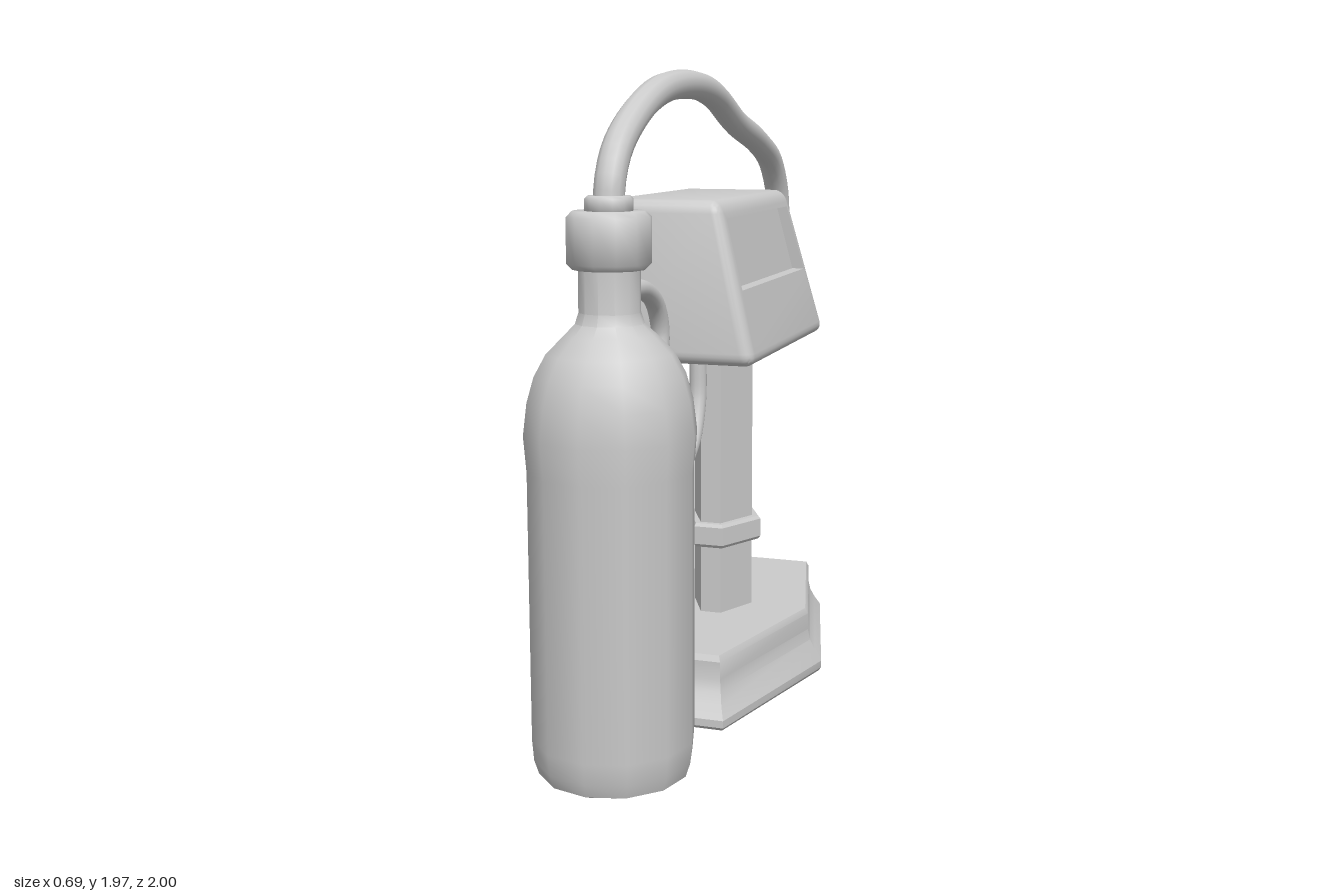
import * as THREE from 'three';
import { toCreasedNormals } from 'three/addons/utils/BufferGeometryUtils.js';
import { RoundedBoxGeometry } from 'three/addons/geometries/RoundedBoxGeometry.js';

const material = new THREE.MeshStandardMaterial({ color: 0xcccccc });
const HOSE_X = -0.012;

function add(group, name, geometry, x = 0, y = 0, z = 0) {
  const mesh = new THREE.Mesh(geometry, material);
  mesh.name = name;
  mesh.position.set(x, y, z);
  group.add(mesh);
  return mesh;
}

// Turned part from [radius, height] pairs
function turned(profile, sides = 12, crease = 0.6) {
  const points = profile.map(([r, y]) => new THREE.Vector2(r, y));
  return toCreasedNormals(new THREE.LatheGeometry(points, sides), crease);
}

// Flanged ring with softened rims, standing on y = 0
function ring(r, h, b) {
  return turned([[0, 0], [r - b, 0], [r, b], [r, h - b], [r - b, h], [0, h]], 12, 0.9);
}

// Hose through [z, y] points
function hose(points, radius, segments) {
  const curve = new THREE.CatmullRomCurve3(points.map(([z, y]) => new THREE.Vector3(HOSE_X, y, z)));
  return new THREE.TubeGeometry(curve, segments, radius, 12);
}

// Stacked long hexagons: [y, half length, half width at middle, half width at ends]
function hexLoft(levels) {
  const positions = [], index = [];
  for (const [y, l, m, e] of levels) {
    for (const [x, z] of [[m, 0], [e, -l], [-e, -l], [-m, 0], [-e, l], [e, l]]) positions.push(x, y, z);
  }
  for (let i = 0; i < levels.length - 1; i++) {
    for (let j = 0; j < 6; j++) {
      const a = i * 6 + j, b = i * 6 + (j + 1) % 6;
      index.push(a, b, b + 6, a, b + 6, a + 6);
    }
  }
  const top = (levels.length - 1) * 6;
  for (let j = 1; j < 5; j++) index.push(0, j + 1, j, top, top + j, top + j + 1);
  const g = new THREE.BufferGeometry();
  g.setAttribute('position', new THREE.Float32BufferAttribute(positions, 3));
  g.setIndex(index);
  return toCreasedNormals(g, 0.5);
}

// Tapered head: rounded box whose right face holds a sunken window
function headGeometry() {
  const W = 0.245, H = 0.2475, D = 0.45, R = 0.04;
  const box = new RoundedBoxGeometry(2 * W, 2 * H, 2 * D, 3, R);
  const source = box.attributes.position.array;
  const out = [];
  for (let i = 0; i < source.length; i += 9) {
    const flatRight = [0, 3, 6].every((k) => source[i + k] > W - 1e-4);
    if (!flatRight) out.push(...source.slice(i, i + 9));
  }
  const quad = (a, b, c, d) => out.push(...a, ...b, ...c, ...a, ...c, ...d);
  const rect = (x, y0, y1, z) => [[x, y0, z], [x, y0, -z], [x, y1, -z], [x, y1, z]];
  const outer = rect(W, -H + R, H - R, D - R);
  const rim = rect(W, -0.022, 0.192, 0.395);
  const floor = rect(W - 0.045, -0.022, 0.192, 0.395);
  for (let i = 0; i < 4; i++) {
    const j = (i + 1) % 4;
    quad(outer[i], outer[j], rim[j], rim[i]);
    quad(rim[i], rim[j], floor[j], floor[i]);
  }
  quad(...floor);
  // taper the ends and slope the right side
  for (let i = 0; i < out.length; i += 3) {
    const t = (out[i + 1] + H) / (2 * H);
    out[i] = -0.265 + (out[i] + W) / (2 * W) * (0.5 - 0.13 * t);
    out[i + 1] += 1.0875 + H - 0.003;
    out[i + 2] = -0.23 + 0.005 * t + out[i + 2] * (1 - 0.122 * t);
  }
  const g = new THREE.BufferGeometry();
  g.setAttribute('position', new THREE.Float32BufferAttribute(out, 3));
  return toCreasedNormals(g, 0.6);
}

export function createModel() {
  const model = new THREE.Group();
  model.name = 'bottleDispenser';

  // Stand
  const standZ = -0.233;
  add(model, 'base', hexLoft([
    [0, 0.6, 0.335, 0.183], [0.012, 0.613, 0.344, 0.19], [0.035, 0.613, 0.344, 0.19],
    [0.07, 0.585, 0.322, 0.176], [0.105, 0.56, 0.305, 0.166], [0.14, 0.55, 0.297, 0.161],
    [0.195, 0.55, 0.297, 0.161], [0.213, 0.54, 0.287, 0.154],
  ]), 0, 0, standZ);
  add(model, 'post', hexLoft([[0.2, 0.138, 0.1, 0.034], [1.1, 0.138, 0.1, 0.034]]), 0, 0, standZ);
  add(model, 'postCollar', hexLoft([
    [0.438, 0.157, 0.122, 0.044], [0.448, 0.164, 0.13, 0.048],
    [0.507, 0.164, 0.13, 0.048], [0.517, 0.157, 0.122, 0.044],
  ]), 0, 0, standZ);
  add(model, 'head', headGeometry());

  // Bottle
  const bottleZ = 0.763;
  add(model, 'bottle', turned([
    [0, 0.01], [0.19, 0.01], [0.212, 0.02], [0.225, 0.06], [0.23, 0.12], [0.231, 0.88],
    [0.239, 0.98], [0.228, 1.07], [0.208, 1.14], [0.175, 1.2], [0.125, 1.25], [0.095, 1.28],
    [0.085, 1.31], [0.085, 1.45], [0, 1.45],
  ]), HOSE_X, 0, bottleZ);
  add(model, 'bottleCap', ring(0.116, 0.155, 0.016), HOSE_X, 1.425, bottleZ);
  add(model, 'capFitting', ring(0.066, 0.05, 0.008), HOSE_X, 1.57, bottleZ);

  // Large hose from the cap over the top to the back of the head
  add(model, 'largeHose', hose([
    [0.763, 1.59], [0.755, 1.65], [0.705, 1.735], [0.571, 1.825], [0.357, 1.9], [0.067, 1.922],
    [-0.153, 1.895], [-0.394, 1.81], [-0.662, 1.743], [-0.85, 1.663], [-0.946, 1.52],
    [-0.93, 1.385], [-0.84, 1.295], [-0.74, 1.272], [-0.65, 1.27],
  ], 0.043, 64));
  const backFitting = add(model, 'backFitting', ring(0.065, 0.06, 0.008), HOSE_X, 1.273, -0.645);
  backFitting.rotation.x = -Math.PI / 2;

  // Small hose from the bottle neck looping up under the head
  add(model, 'smallHose', hose([
    [0.67, 1.353], [0.6, 1.353], [0.5, 1.342], [0.4, 1.29], [0.357, 1.198], [0.392, 1.075],
    [0.418, 0.968], [0.388, 0.85], [0.3, 0.774], [0.17, 0.76], [0.062, 0.824], [0.006, 0.94],
    [0.002, 1.09],
  ], 0.028, 56));
  const neckFitting = add(model, 'neckFitting', ring(0.036, 0.03, 0.005), HOSE_X, 1.353, 0.69);
  neckFitting.rotation.x = -Math.PI / 2;
  add(model, 'underFitting', ring(0.038, 0.035, 0.005), HOSE_X, 1.062, 0.002);

  return model;
}
